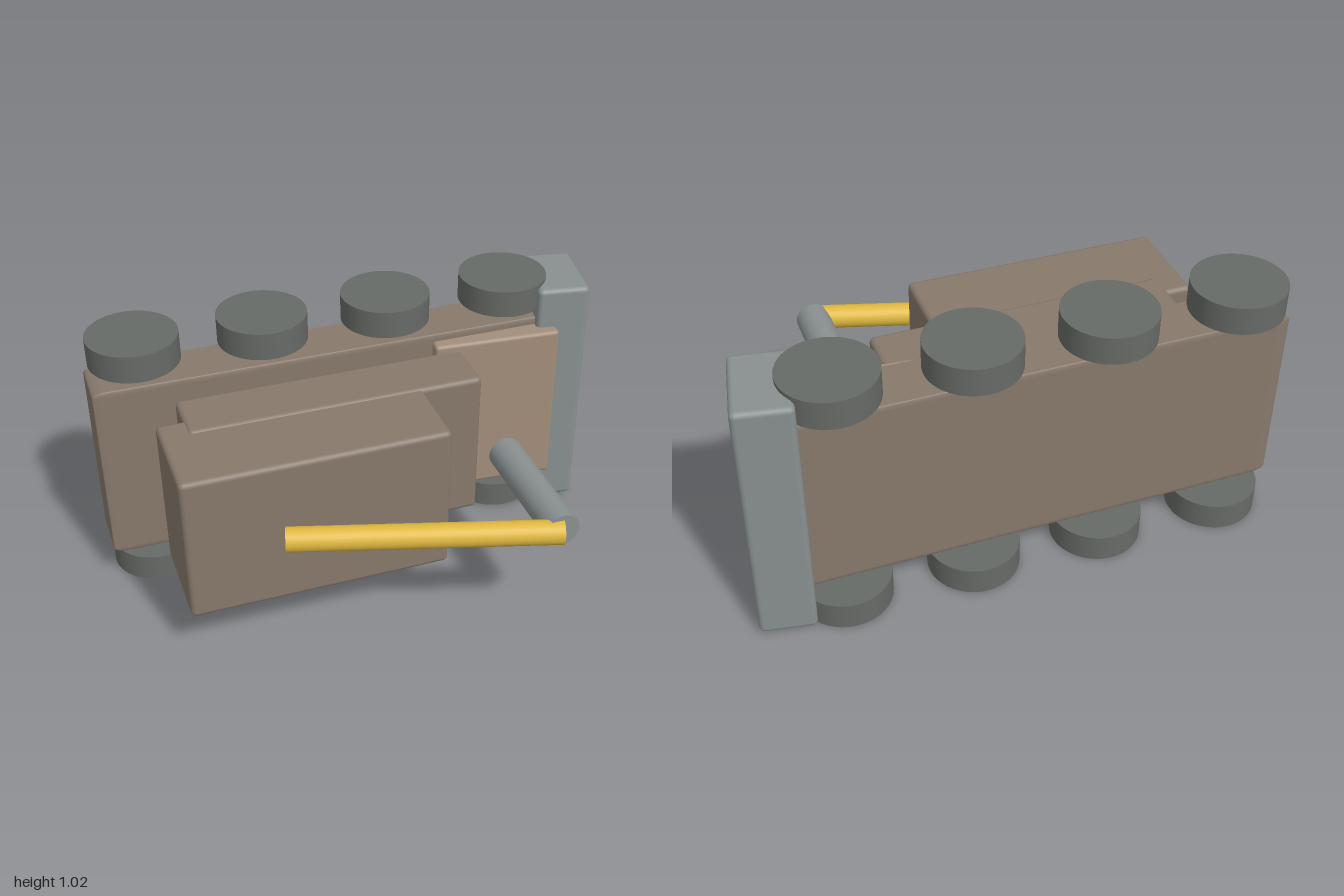
import * as THREE from 'three';
import { RoundedBoxGeometry } from 'three/addons/geometries/RoundedBoxGeometry.js';

const paint = (color) => new THREE.MeshStandardMaterial({ color });
const BROWN = paint(0x87786b), TAN = paint(0xa28e7a), STEEL = paint(0x899090);
const RUBBER = paint(0x666a66), YELLOW = paint(0xe0b840);

export function createModel() {
  const model = new THREE.Group();
  const MID = 0.51; // height of the vehicle's centre line; it lies on its side

  const add = (name, geometry, material, x, y, z) => {
    const mesh = new THREE.Mesh(geometry, material);
    mesh.name = name;
    mesh.position.set(x, y, z);
    model.add(mesh);
    return mesh;
  };
  const box = (name, size, material, x, z, radius = 0.02) =>
    add(name, new RoundedBoxGeometry(...size, 3, radius), material, x, MID, z);

  // Hull: soft corners stretched along its length
  add('hull', new RoundedBoxGeometry(1, 1, 1, 3, 0.03).scale(1.84, 0.73, 0.21),
    BROWN, -0.08, MID, -0.405);

  // Sloping deck plate, sunk into the hull
  box('deckPlate', [0.507, 0.67, 0.12], TAN, 0.566, -0.293, 0.015)
    .rotation.y = THREE.MathUtils.degToRad(-4.5);

  // Turret in two steps
  box('turretBase', [1.125, 0.605, 0.23], BROWN, -0.1475, -0.155);
  box('turretTop', [0.99, 0.59, 0.39], BROWN, -0.315, 0.055);

  // Tilted blade at the end of the hull
  box('blade', [0.205, 0.99, 0.32], STEEL, 0.867, -0.407)
    .rotation.y = THREE.MathUtils.degToRad(-10);

  // Four wheels on each side
  const wheel = new THREE.CylinderGeometry(0.172, 0.172, 0.107, 48);
  for (const y of [0.0535, 0.9665]) {
    for (let i = 0; i < 4; i++) add('wheel', wheel, RUBBER, -0.815 + i * 0.49, y, -0.44);
  }

  // Bucket post, parallel to z
  add('post', new THREE.CylinderGeometry(0.065, 0.065, 0.515, 40), STEEL, 0.487, MID, 0.2975)
    .rotation.x = Math.PI / 2;

  // Sloping boom between turret and post
  const start = new THREE.Vector3(-0.457, MID, 0.28), end = new THREE.Vector3(0.487, MID, 0.563);
  const span = end.clone().sub(start), centre = start.clone().lerp(end, 0.5);
  add('boom', new THREE.CylinderGeometry(0.046, 0.046, span.length(), 32), YELLOW, ...centre.toArray())
    .quaternion.setFromUnitVectors(new THREE.Vector3(0, 1, 0), span.normalize());

  return model;
}
